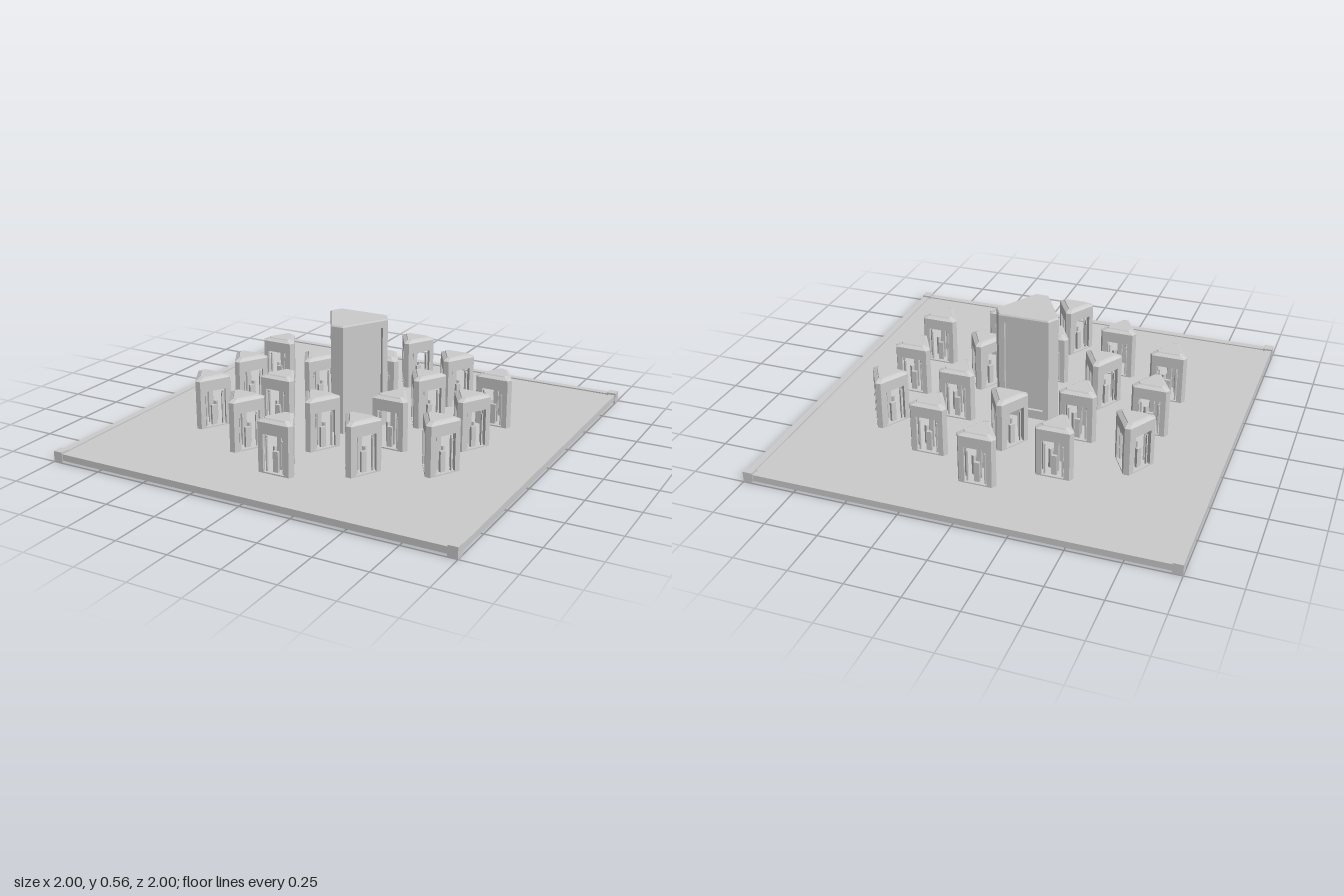
import * as THREE from 'three';

const material = new THREE.MeshStandardMaterial({ color: 0xcccccc, flatShading: true });
const C30 = Math.sqrt(3) / 2;

function add(parent, name, geometry) {
  const mesh = new THREE.Mesh(geometry, material);
  mesh.name = name;
  parent.add(mesh);
  return mesh;
}

function box(parent, name, w, h, d, x, y, z) {
  add(parent, name, new THREE.BoxGeometry(w, h, d)).position.set(x, y, z);
}

// Triangle with cut corners, tip towards +z: long sides at distance r, cut corners at distance t
function outline(r, t) {
  const c = (r - t / 2) / C30;
  const points = [];
  for (let i = 0; i < 3; i++) {
    const a = (i * Math.PI * 2) / 3;
    for (const x of [c, -c]) {
      points.push(new THREE.Vector2(x, t).rotateAround(new THREE.Vector2(), a));
    }
  }
  return points;
}

// Upright prism over an x/z outline; the top can shrink to make a sloping roof
function prism(points, y0, y1, topScale = 1) {
  const geometry = new THREE.ExtrudeGeometry(new THREE.Shape(points), { depth: y1 - y0, bevelEnabled: false });
  geometry.rotateX(Math.PI / 2).translate(0, y1, 0);
  const p = geometry.attributes.position;
  for (let i = 0; i < p.count; i++) {
    if (p.getY(i) > (y0 + y1) / 2) p.setXYZ(i, p.getX(i) * topScale, p.getY(i), p.getZ(i) * topScale);
  }
  geometry.computeVertexNormals();
  return geometry;
}

// Corner post that wraps round one cut corner by s and is d thick
function postOutline(r, t, s, d) {
  const c = (r - t / 2) / C30;
  const x = c + s / 2, z = t - s * C30;
  const xi = x - d * C30, zi = z - d / 2;
  return [[c, t], [-c, t], [-x, z], [-xi, zi], [xi, zi], [x, z]].map(([a, b]) => new THREE.Vector2(a, b));
}

function addPosts(group, r, t, s, d, y0, y1) {
  for (let i = 0; i < 3; i++) {
    add(group, 'cornerPost', prism(postOutline(r, t, s, d), y0, y1)).rotation.y = (i * Math.PI * 2) / 3;
  }
}

const R = 0.06, T = 0.097;

function createBooth() {
  const g = new THREE.Group();
  g.name = 'booth';
  add(g, 'boothFloor', prism(outline(R, T), 0.035, 0.043));
  addPosts(g, R, T, 0.025, 0.012, 0.04, 0.22);
  add(g, 'lintel', prism(outline(R, T), 0.22, 0.274));
  add(g, 'slopedRoof', prism(outline(R, T), 0.274, 0.284, 0.74));
  add(g, 'roofCap', prism(outline(0.043, 0.069), 0.284, 0.289, 0.92));
  // Slim centre column with a low block facing each opening
  add(g, 'centreColumn', prism(outline(0.009, 0.014), 0.04, 0.22));
  for (let i = 0; i < 3; i++) {
    const side = new THREE.Group();
    side.name = 'innerFittings';
    side.rotation.y = (i * Math.PI * 2) / 3;
    box(side, 'lowBlock', 0.026, 0.1, 0.014, 0, 0.09, -0.036);
    for (const x of [-0.042, 0.042]) box(side, 'innerUpright', 0.007, 0.155, 0.008, x, 0.118, -0.045);
    g.add(side);
  }
  return g;
}

function createTower() {
  const r = 0.107, t = 0.16;
  const g = new THREE.Group();
  g.name = 'tower';
  add(g, 'recessedPanels', prism(outline(r - 0.015, t - 0.012), 0.036, 0.54));
  addPosts(g, r, t, 0.028, 0.018, 0.036, 0.53);
  add(g, 'bottomBand', prism(outline(r, t), 0.036, 0.082));
  add(g, 'topBand', prism(outline(r, t), 0.525, 0.558));
  add(g, 'towerRoof', prism(outline(r, t), 0.558, 0.565, 0.965));
  return g;
}

// [x, z, points to the back]; rows with x > 0 are mirrored
const U = 1 / 6;
const layout = [
  [0, -4, false], [0.3, -3, false], [0.6, -2, true], [0, -2, true], [0.3, -1, false], [0.6, 0, false],
  [0.3, 1, true], [0, 2, false], [0.6, 2, false], [0.3, 3, false], [0, 4, true],
].flatMap(([x, row, flip]) => (x ? [x, -x] : [0]).map((px) => [px, row * U, flip]));

export function createModel() {
  const model = new THREE.Group();
  model.name = 'model';

  // Floor plate, open beneath every booth
  const floor = new THREE.Shape([[-0.97, -0.97], [0.97, -0.97], [0.97, 0.97], [-0.97, 0.97]].map((p) => new THREE.Vector2(...p)));
  for (const [x, z, flip] of layout) {
    const k = flip ? -1 : 1;
    floor.holes.push(new THREE.Path(outline(R - 0.002, T - 0.003).map((p) => new THREE.Vector2(x + k * p.x, z + k * p.y))));
  }
  const plate = new THREE.ExtrudeGeometry(floor, { depth: 0.02, bevelEnabled: false });
  add(model, 'floorPlate', plate.rotateX(Math.PI / 2).translate(0, 0.037, 0));

  // Edge rails and corner blocks
  for (const s of [-1, 1]) {
    box(model, 'sideRail', 0.033, 0.031, 1.93, s * 0.98, 0.0275, 0);
    box(model, 'endRail', 1.93, 0.031, 0.033, 0, 0.0275, s * 0.98);
    for (const q of [-1, 1]) box(model, 'cornerBlock', 0.046, 0.052, 0.046, s * 0.977, 0.026, q * 0.977);
  }

  model.add(createTower());
  for (const [x, z, flip] of layout) {
    const booth = createBooth();
    booth.position.set(x, 0, z);
    booth.rotation.y = flip ? Math.PI : 0;
    model.add(booth);
  }
  return model;
}
